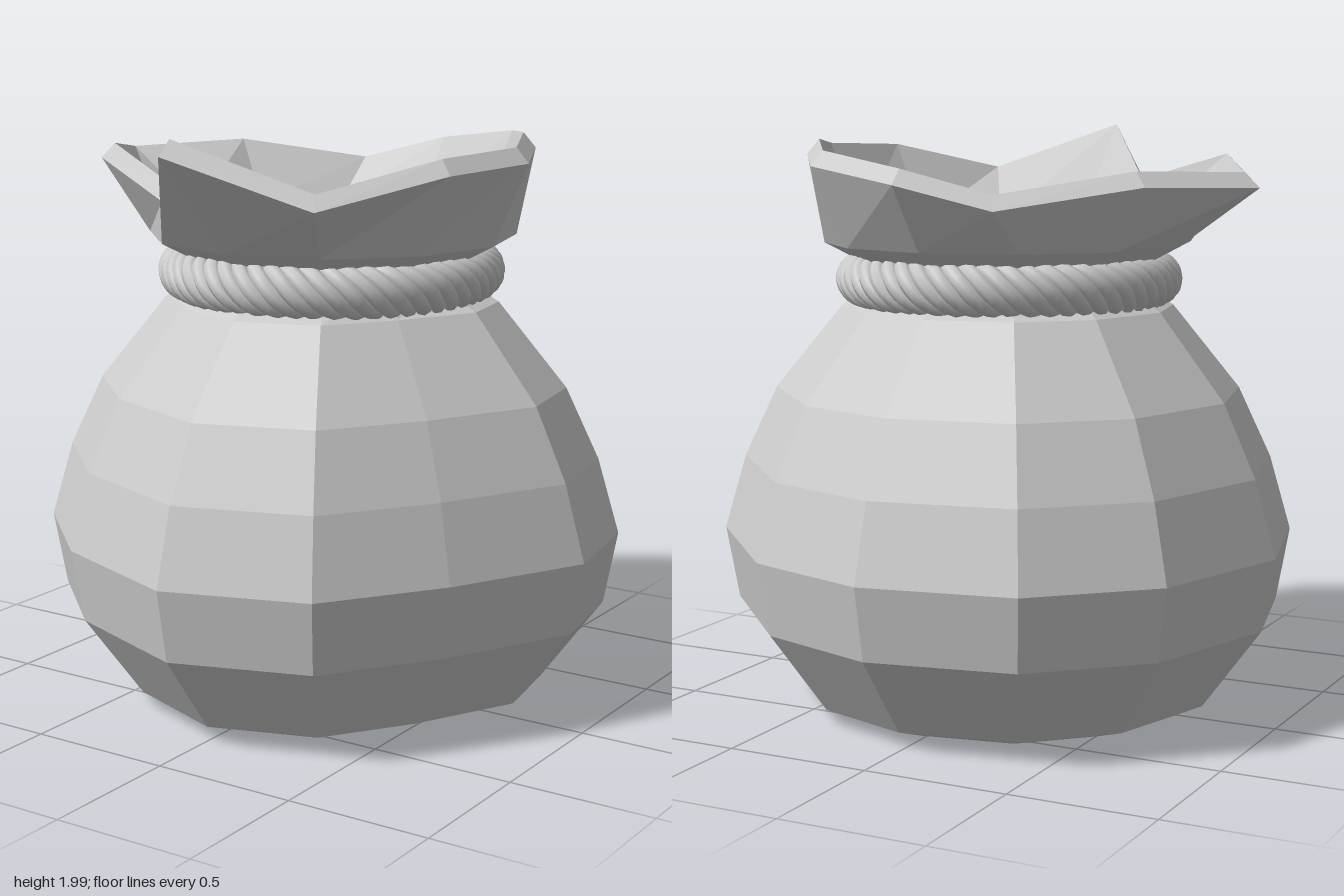
import * as THREE from 'three';

const SIDES = 12;

// Widest outline of the sack [x, z], from the front round by +x
const BELLY = [
  [0, 1], [0.48, 0.84], [0.75, 0.46], [0.99, 0], [0.92, -0.4], [0.49, -0.85],
  [0.03, -1], [-0.49, -0.9], [-0.84, -0.57], [-1, -0.03], [-0.87, 0.48], [-0.51, 0.81],
];

// Uneven rim of the open mouth [x, y, z], same order
const RIM = [
  [-0.01, 1.95, 0.94], [0.43, 1.79, 0.75], [0.68, 1.88, 0.37], [0.75, 1.89, -0.01],
  [0.61, 1.91, -0.32], [0.37, 1.88, -0.68], [0, 1.83, -0.8], [-0.3, 1.75, -0.7],
  [-0.68, 1.82, -0.4], [-0.92, 1.81, -0.02], [-0.71, 1.86, 0.36], [-0.28, 1.76, 0.58],
];

const bellyRing = (y, s) => BELLY.map(([x, z]) => [x * s, y, z * s]);

const roundRing = (y, r) => BELLY.map((_, i) => {
  const a = (i / SIDES) * Math.PI * 2;
  return [Math.sin(a) * r - 0.01, y, Math.cos(a) * r - 0.02];
});

// Faceted skin through a list of closed rings
function skin(rings) {
  const index = [];
  for (let i = 0; i < rings.length - 1; i++) {
    for (let j = 0; j < SIDES; j++) {
      const k = (j + 1) % SIDES;
      const a = i * SIDES + j, b = i * SIDES + k;
      index.push(a, b, b + SIDES, a, b + SIDES, a + SIDES);
    }
  }
  const g = new THREE.BufferGeometry();
  g.setAttribute('position', new THREE.Float32BufferAttribute(rings.flat(2), 3));
  g.setIndex(index);
  const flat = g.toNonIndexed();
  flat.computeVertexNormals();
  return flat;
}

// Closed helix wound around a ring
class StrandCurve extends THREE.Curve {
  constructor(radius, coil, turns, phase) {
    super();
    Object.assign(this, { radius, coil, turns, phase });
  }
  getPoint(t, target = new THREE.Vector3()) {
    const a = t * Math.PI * 2;
    const p = this.phase - this.turns * a;
    const r = this.radius + this.coil * Math.cos(p);
    return target.set(Math.sin(a) * r, this.coil * Math.sin(p), Math.cos(a) * r);
  }
}

export function createModel() {
  const model = new THREE.Group();
  const cloth = new THREE.MeshStandardMaterial({ color: 0xcccccc, flatShading: true });
  const cord = new THREE.MeshStandardMaterial({ color: 0xcccccc });

  // Sack: up the outside, over the rim and down the inside
  const sack = new THREE.Mesh(skin([
    bellyRing(0.01, 0), bellyRing(0.01, 0.6),
    bellyRing(0.06, 0.745), bellyRing(0.345, 0.955), bellyRing(0.595, 1),
    bellyRing(0.855, 0.925), bellyRing(1.1, 0.81), bellyRing(1.39, 0.575),
    roundRing(1.49, 0.4), roundRing(1.61, 0.63),
    RIM,
    RIM.map(([x, y, z]) => [x * 0.94, y + 0.05, z * 0.94]),
    roundRing(1.65, 0.58), roundRing(1.5, 0.32),
    bellyRing(1.35, 0.5), bellyRing(1.07, 0.75), bellyRing(0.6, 0.94),
    bellyRing(0.36, 0.89), bellyRing(0.11, 0.69), bellyRing(0.1, 0),
  ]), cloth);
  sack.name = 'sack';
  model.add(sack);

  // Twisted rope tied round the neck
  const rope = new THREE.Group();
  rope.name = 'rope';
  rope.position.set(-0.01, 1.488, -0.015);
  const STRANDS = 6;
  for (let i = 0; i < STRANDS; i++) {
    const path = new StrandCurve(0.503, 0.064, 9, (i / STRANDS) * Math.PI * 2);
    const strand = new THREE.Mesh(new THREE.TubeGeometry(path, 220, 0.029, 8, true), cord);
    strand.name = 'ropeStrand';
    rope.add(strand);
  }
  const core = new THREE.Mesh(new THREE.TorusGeometry(0.503, 0.062, 10, 48), cord);
  core.name = 'ropeCore';
  core.rotation.x = Math.PI / 2;
  rope.add(core);
  model.add(rope);

  return model;
}
